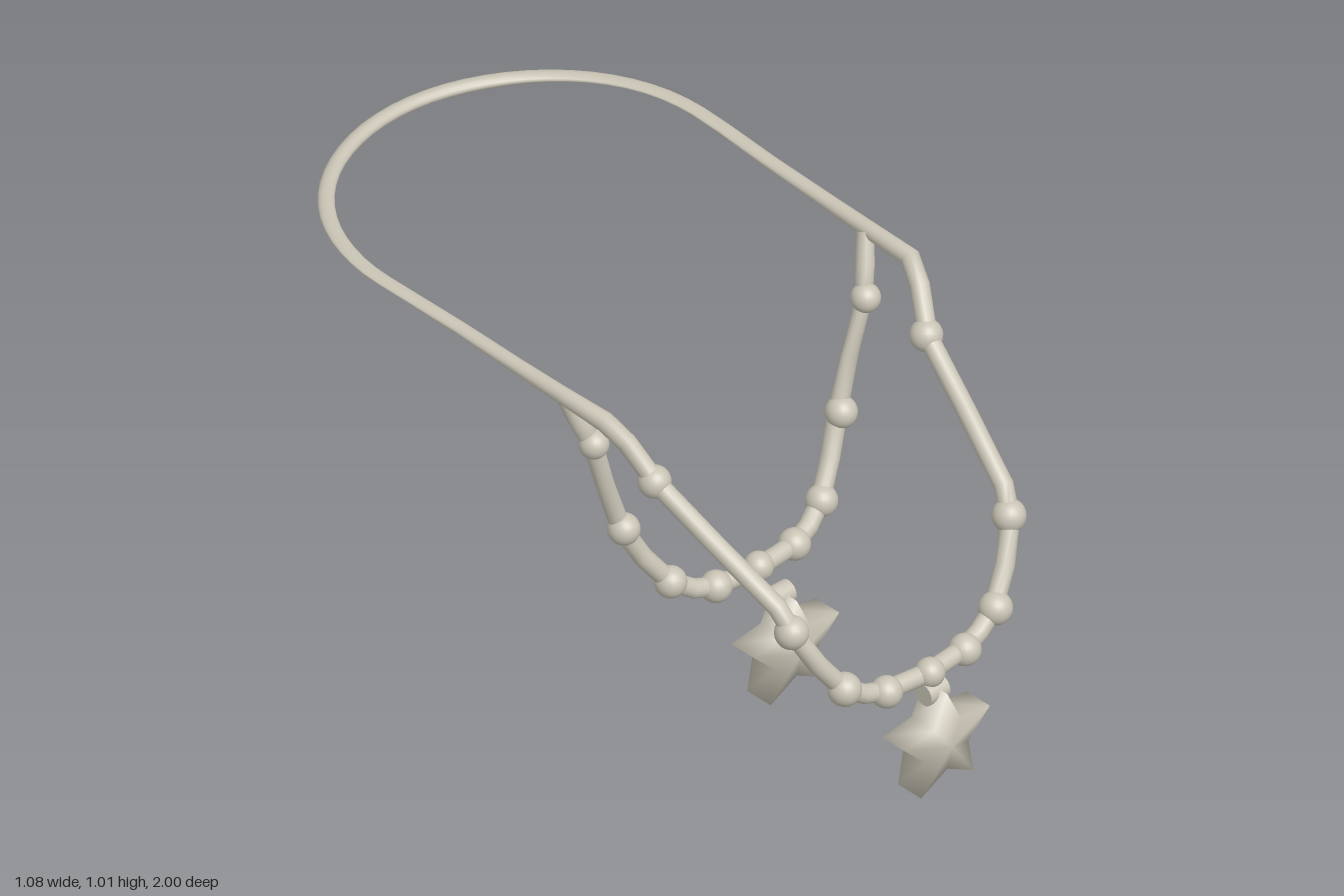
import * as THREE from 'three';

const stone = new THREE.MeshStandardMaterial({ color: 0xc9c4b5 });
stone.name = 'warmGrey';

function add(parent, name, geometry, x = 0, y = 0, z = 0) {
  const mesh = new THREE.Mesh(geometry, stone);
  mesh.name = name;
  mesh.position.set(x, y, z);
  parent.add(mesh);
  return mesh;
}

function surface(positions, index) {
  const g = new THREE.BufferGeometry();
  g.setAttribute('position', new THREE.Float32BufferAttribute(positions, 3));
  g.setIndex(index);
  g.computeVertexNormals();
  return g;
}

// Sweeps an ellipse along points [x, y, z, half width, half height]
function sweep(points, closed, sides = 14) {
  const n = points.length, pos = [], index = [];
  const at = i => new THREE.Vector3(...points[closed ? (i + n) % n : Math.min(Math.max(i, 0), n - 1)].slice(0, 3));
  const Y = new THREE.Vector3(0, 1, 0);
  for (let i = 0; i < n; i++) {
    const p = at(i);
    const before = p.clone().sub(at(i - 1)).normalize();
    const tangent = at(i + 1).sub(p).normalize().add(before).normalize();
    const side = tangent.clone().cross(Y).normalize();
    const up = side.clone().cross(tangent);
    const [, , , rx, ry] = points[i];
    for (let j = 0; j < sides; j++) {
      const a = j / sides * Math.PI * 2;
      const v = p.clone().addScaledVector(side, rx * Math.cos(a)).addScaledVector(up, ry * Math.sin(a));
      pos.push(v.x, v.y, v.z);
    }
  }
  for (let i = 0; i < (closed ? n : n - 1); i++) {
    for (let j = 0; j < sides; j++) {
      const k = (j + 1) % sides, m = (i + 1) % n;
      const a = i * sides + j, b = m * sides + j, c = i * sides + k, d = m * sides + k;
      index.push(a, b, c, c, b, d);
    }
  }
  return surface(pos, index);
}

// Five-pointed star, swollen towards its middle
function starGeometry(back, front, backMid, frontMid) {
  const pos = [0, 0, frontMid, 0, 0, backMid], index = [];
  for (let i = 0; i < 10; i++) {
    const a = Math.PI / 2 + i * Math.PI / 5, r = i % 2 ? 0.073 : 0.148;
    const x = r * Math.cos(a), y = r * Math.sin(a);
    pos.push(x, y, front, x, y, back);
    const f = 2 + 2 * i, b = f + 1, f2 = 2 + 2 * ((i + 1) % 10), b2 = f2 + 1;
    index.push(0, f, f2, 1, b2, b, f, b, b2, f, b2, f2);
  }
  return surface(pos, index);
}

const mirror = p => [-p[0], ...p.slice(1)];

// Beads on both sides of a strand: [x, y, z, radius]
function addBeads(parent, beads) {
  for (const b of beads) {
    for (const s of b[0] ? [1, -1] : [1]) {
      add(parent, 'bead', new THREE.SphereGeometry(b[3], 20, 14), s * b[0], b[1], b[2]);
    }
  }
}

function addPendant(parent, z, star) {
  const loop = add(parent, 'pendantLoop', new THREE.CylinderGeometry(0.03, 0.03, 0.062, 16), 0, 0.255, z);
  loop.rotation.z = Math.PI / 2;
  add(parent, 'star', star, 0, 0.122, 0);
}

export function createModel() {
  const model = new THREE.Group();
  model.name = 'necklace';
  const R = 0.025;

  // Long strand, from the front middle up the side and round the neck
  const half = [
    [0, 0.3, 0.915, R, R], [0.13, 0.3, 0.9, R, R], [0.19, 0.315, 0.89, R, R],
    [0.25, 0.355, 0.88, R, R], [0.31, 0.44, 0.855, R, R], [0.36, 0.54, 0.82, R, R],
    [0.375, 0.605, 0.78, R, R], [0.415, 0.72, 0.6, R, R], [0.45, 0.83, 0.43, R, R],
    [0.485, 0.93, 0.365, R, R], [0.505, 0.973, 0.31, 0.025, 0.026],
    [0.508, 0.978, 0.15, 0.022, 0.021], [0.51, 0.984, 0, 0.021, 0.017],
    [0.512, 0.993, -0.2, 0.021, 0.011], [0.518, 1, -0.36, 0.021, 0.007]
  ];
  for (let i = 0; i <= 16; i++) {
    const t = i / 16, a = t * Math.PI / 2, drop = THREE.MathUtils.smoothstep(t, 0.1, 0.8);
    half.push([0.52 * Math.cos(a), 1.002 - 0.019 * drop, -0.46 - 0.52 * Math.sin(a), 0.021, 0.006 + 0.01 * drop]);
  }
  half[half.length - 1][0] = 0;
  const outer = new THREE.Group();
  outer.name = 'outerStrand';
  model.add(outer);
  add(outer, 'cord', sweep([...half, ...half.slice(1, -1).reverse().map(mirror)], true));
  addBeads(outer, [
    [0, 0.303, 0.92, 0.038], [0.13, 0.3, 0.905, 0.041], [0.25, 0.355, 0.885, 0.043],
    [0.36, 0.54, 0.815, 0.043], [0.45, 0.83, 0.425, 0.042]
  ]);
  addPendant(outer, 0.93, starGeometry(0.9, 0.982, 0.897, 1));

  // Short strand hanging behind it
  const inner = new THREE.Group();
  inner.name = 'innerStrand';
  model.add(inner);
  const side = [
    [0.13, 0.3, 0.3, R, R], [0.19, 0.315, 0.285, R, R], [0.25, 0.355, 0.265, R, R],
    [0.31, 0.44, 0.235, R, R], [0.36, 0.54, 0.208, R, R], [0.405, 0.68, 0.203, 0.018, R],
    [0.45, 0.83, 0.205, 0.022, R], [0.475, 0.9, 0.18, R, R], [0.5, 0.975, 0.155, 0.022, 0.022]
  ];
  add(inner, 'cord', sweep([...side.slice().reverse().map(mirror), [0, 0.3, 0.312, R, R], ...side], false));
  addBeads(inner, [
    [0, 0.303, 0.312, 0.038], [0.13, 0.3, 0.3, 0.041], [0.25, 0.355, 0.268, 0.041],
    [0.36, 0.54, 0.22, 0.041], [0.45, 0.83, 0.21, 0.038]
  ]);
  addPendant(inner, 0.385, starGeometry(0.365, 0.448, 0.345, 0.465));

  return model;
}
